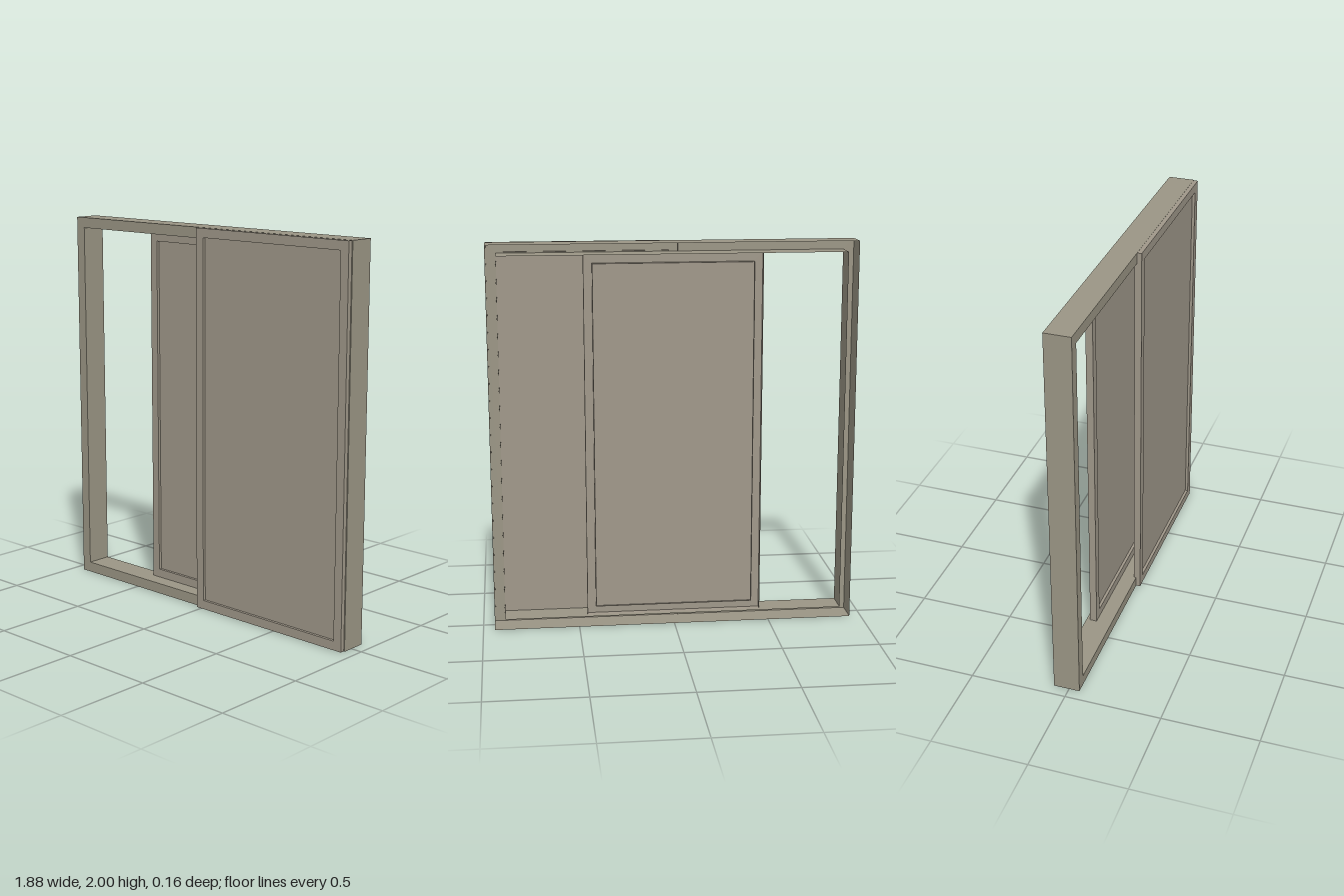
import * as THREE from 'three';

const frameMat = new THREE.MeshStandardMaterial({ color: 0x9b9685, side: THREE.DoubleSide });
frameMat.name = 'frame taupe';
const doorMat = new THREE.MeshStandardMaterial({ color: 0xa0988a, side: THREE.DoubleSide });
doorMat.name = 'door taupe';

// Mitred rectangular channel: profile points are [inset from outer edge, z]
function channelRing(x0, x1, y0, y1, profile) {
  const loops = profile.map(([d, z]) => [
    [x0 + d, y0 + d, z], [x1 - d, y0 + d, z], [x1 - d, y1 - d, z], [x0 + d, y1 - d, z],
  ]);
  const pos = [];
  for (let i = 0; i < loops.length - 1; i++) {
    for (let k = 0; k < 4; k++) {
      const n = (k + 1) % 4;
      const a = loops[i][k], b = loops[i][n], c = loops[i + 1][n], d = loops[i + 1][k];
      pos.push(...a, ...c, ...b, ...a, ...d, ...c);
    }
  }
  const geo = new THREE.BufferGeometry();
  geo.setAttribute('position', new THREE.Float32BufferAttribute(pos, 3));
  geo.computeVertexNormals();
  return geo;
}

// Open-backed channel section, from the inner wall round the front to the outer wall
const section = (width, back, front) => [[width, back], [width, front], [0, front], [0, back]];

function addMesh(parent, name, geo, mat) {
  const mesh = new THREE.Mesh(geo, mat);
  mesh.name = name;
  parent.add(mesh);
  return mesh;
}

// Sliding door: channel rails round a recessed infill panel
function makeDoor(name, x0, x1, y0, y1, back, front, rail) {
  const door = new THREE.Group();
  door.name = name;
  addMesh(door, name + 'Rails', channelRing(x0, x1, y0, y1, section(rail, back, front)), doorMat);
  const panel = addMesh(door, name + 'Panel',
    new THREE.BoxGeometry(x1 - x0 - 2 * rail, y1 - y0 - 2 * rail, 0.006), doorMat);
  panel.position.set((x0 + x1) / 2, (y0 + y1) / 2, (back + front) / 2);
  return door;
}

export function createModel() {
  const model = new THREE.Group();
  model.name = 'slidingDoor';
  // Outer frame, open at the back
  addMesh(model, 'outerFrame',
    channelRing(-0.94, 0.94, 0, 2, section(0.055, -0.08, 0.055)), frameMat);
  // Front door overlaps the frame face, rear door slides inside the opening
  model.add(makeDoor('frontDoor', -0.03, 0.935, 0.001, 1.999, 0.042, 0.078, 0.047));
  model.add(makeDoor('rearDoor', -0.455, 0.455, 0.056, 1.944, -0.06, -0.024, 0.045));
  return model;
}
